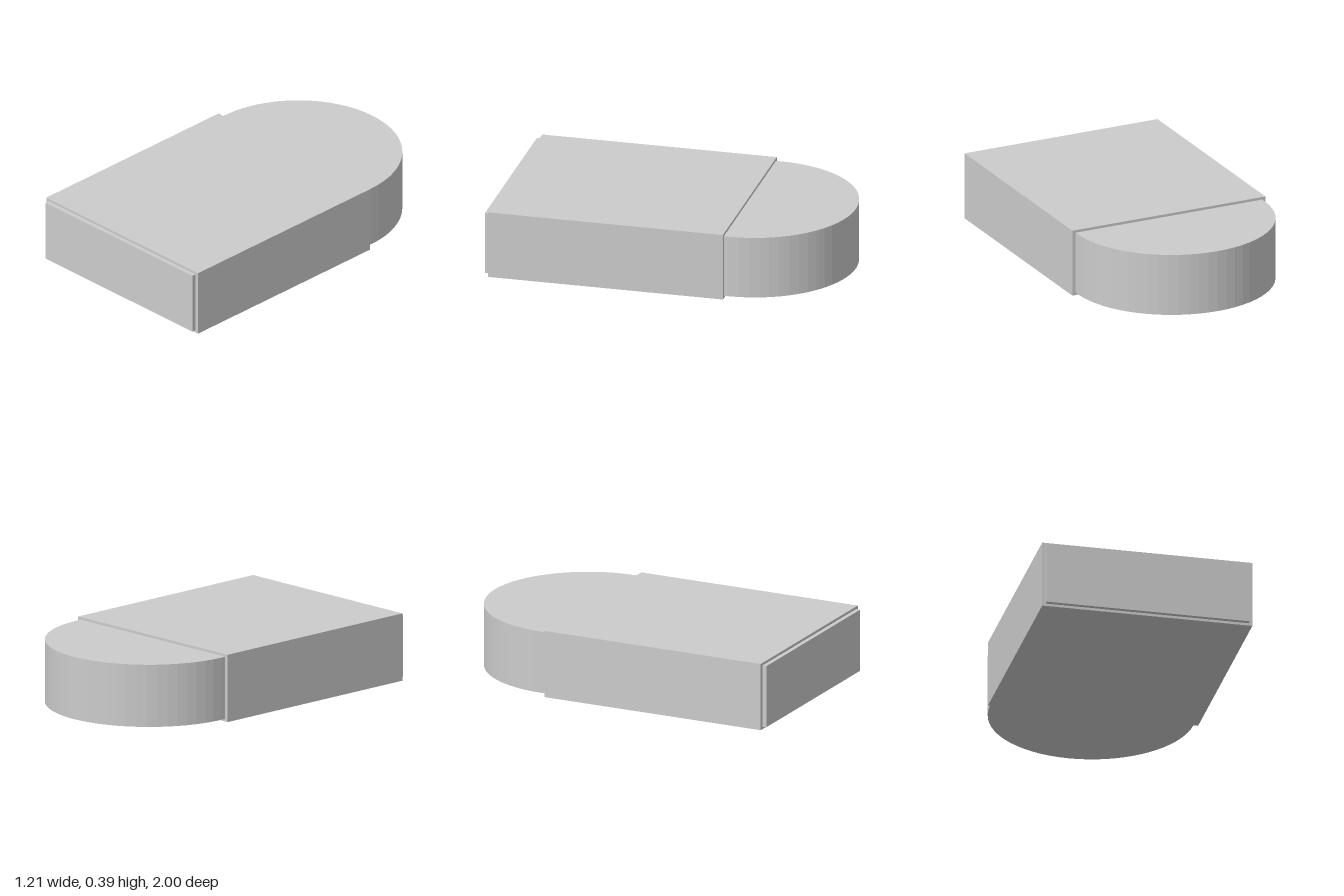
import * as THREE from 'three';

export function createModel() {
  const group = new THREE.Group();
  const material = new THREE.MeshStandardMaterial({ color: 0xcccccc, flatShading: true });

  // Inner block: flat at the front, half-round at the back
  const radius = 0.585;
  const shape = new THREE.Shape();
  shape.moveTo(-radius, -1);
  shape.lineTo(radius, -1);
  shape.absarc(0, 1 - radius, radius, 0, Math.PI, false);
  shape.closePath();
  const coreGeometry = new THREE.ExtrudeGeometry(shape, {
    depth: 0.36, bevelEnabled: false, curveSegments: 16,
  });
  coreGeometry.rotateX(-Math.PI / 2);
  const core = new THREE.Mesh(coreGeometry, material);
  core.name = 'roundedCore';
  core.position.y = 0.015;
  group.add(core);

  // Rectangular sleeve wrapped around the straight part
  const sleeve = new THREE.Mesh(new THREE.BoxGeometry(1.21, 0.39, 1.36), material);
  sleeve.name = 'sleeve';
  sleeve.position.set(0, 0.195, 0.295);
  group.add(sleeve);

  return group;
}
